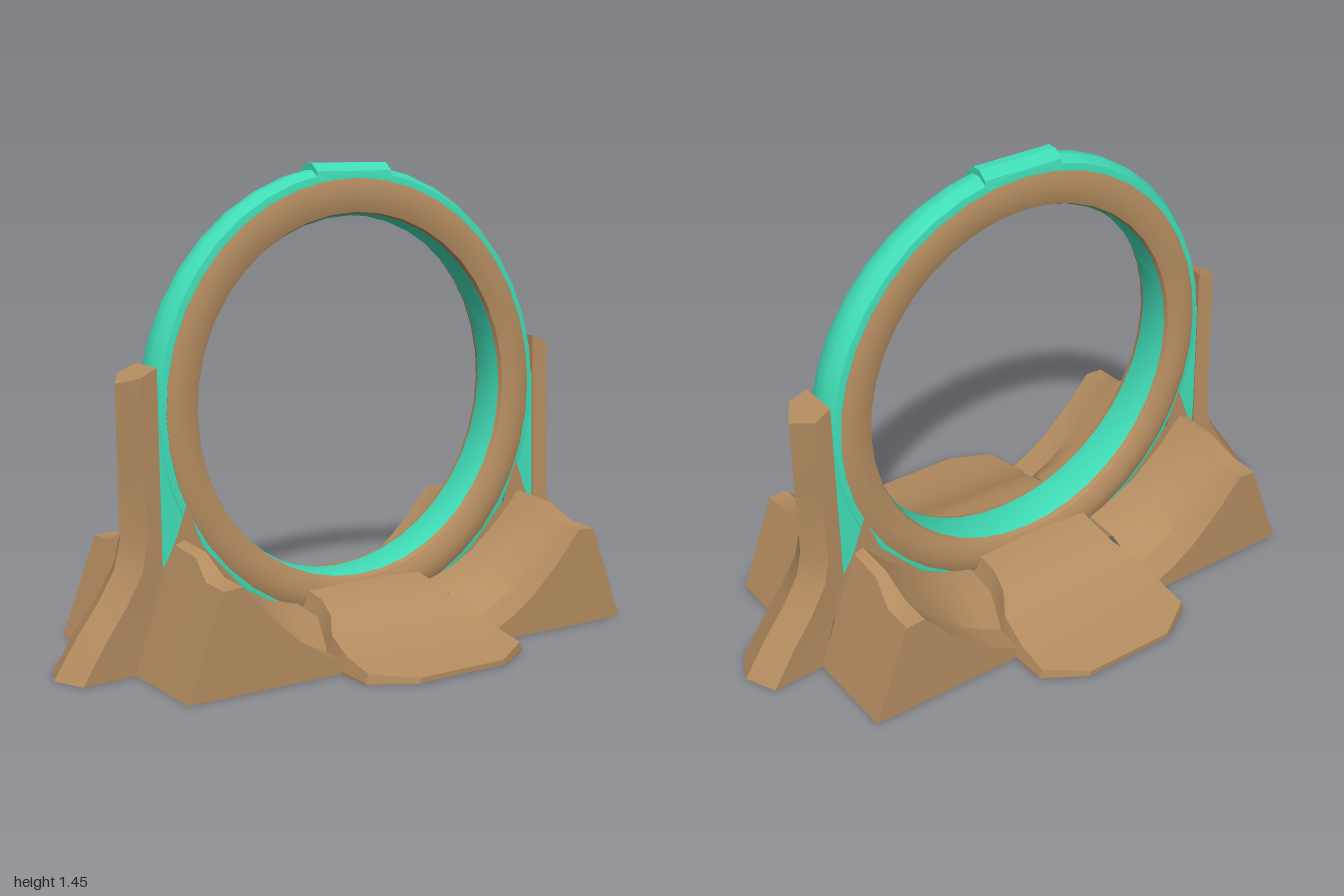
import * as THREE from 'three';
import { toCreasedNormals } from 'three/addons/utils/BufferGeometryUtils.js';

const mat = (name, color) => {
  const m = new THREE.MeshStandardMaterial({ color, side: THREE.DoubleSide });
  m.name = name;
  return m;
};

// Half depth of the ring and pillars, narrowing with height
const halfDepth = (y) => 0.105 - 0.034 * y;
const RING_Y = 0.737;

// Surface through a list of equal-length point rows
function loft(rows, closed = false, capEnd = false) {
  const n = rows[0].length, idx = [];
  const pos = rows.flat(2);
  for (let i = 0; i < rows.length - 1; i++) {
    for (let j = 0; j < (closed ? n : n - 1); j++) {
      const a = i * n + j, b = i * n + ((j + 1) % n);
      idx.push(a, b, b + n, a, b + n, a + n);
    }
  }
  if (capEnd) {
    const s = (rows.length - 1) * n;
    for (let j = 1; j < n - 1; j++) idx.push(s, s + j, s + j + 1);
  }
  const g = new THREE.BufferGeometry();
  g.setAttribute('position', new THREE.Float32BufferAttribute(pos, 3));
  g.setIndex(idx);
  return toCreasedNormals(g, 0.55);
}

// Scale unit depth to the tapered depth at each height
function taper(g) {
  const p = g.attributes.position;
  for (let i = 0; i < p.count; i++) p.setZ(i, p.getZ(i) * halfDepth(p.getY(i)));
  return toCreasedNormals(g, 0.6);
}

// Ring turned from a closed [radius, depth] profile
function ring(profile) {
  const pts = [...profile, profile[0]].map(([r, z]) => new THREE.Vector2(r, z));
  const g = new THREE.LatheGeometry(pts, 40);
  g.rotateX(Math.PI / 2).translate(0, RING_Y, 0);
  return taper(g);
}

const polygon = (pts) => new THREE.Shape(pts.map(([x, y]) => new THREE.Vector2(x, y)));

export function createModel() {
  const model = new THREE.Group();
  model.name = 'ringGate';
  const brown = mat('brown', 0xb48c60);
  const teal = mat('teal', 0x40dcb6);
  const add = (name, g, m, sx = 1, sz = 1) => {
    const mesh = new THREE.Mesh(g, m);
    mesh.name = name;
    mesh.scale.set(sx, 1, sz);
    model.add(mesh);
  };

  // Teal core and the two brown side rings
  add('ringCore', ring([
    [0.559, -0.75], [0.551, -0.4], [0.551, 0.4], [0.559, 0.75],
    [0.66, 0.88], [0.685, 0.82], [0.703, 0.3], [0.703, -0.3], [0.685, -0.82], [0.66, -0.88],
  ]), teal);
  const rim = ring([[0.557, 0.68], [0.562, 0.86], [0.585, 0.97], [0.615, 1.01], [0.645, 0.99], [0.664, 0.9], [0.66, 0.7]]);
  for (const sz of [1, -1]) add('sideRing', rim, brown, 1, sz);

  // Ridged block on top of the ring
  const capSection = [[0.05, 1.395], [0.045, 1.422], [0.015, 1.446], [-0.015, 1.446], [-0.045, 1.422], [-0.05, 1.395]];
  const capRow = (x) => capSection.map(([z, y]) => [x, y, z]);
  add('topBlock', loft([capRow(-0.135), capRow(0.135)], true, true), teal);
  add('topBlockEnd', loft([capRow(-0.134), capRow(-0.135)], true, true), teal);

  // Pillar: [height, inner x, outer x]
  const pillarRows = [
    [0, 0.78, 1.0], [0.12, 0.745, 0.922], [0.21, 0.717, 0.855], [0.3, 0.69, 0.803],
    [0.38, 0.689, 0.785], [0.6, 0.689, 0.787], [0.835, 0.689, 0.79],
  ].map(([y, xi, xo], i, all) => {
    const d = halfDepth(y) * 0.94, top = i === all.length - 1;
    const xm = xo - 0.045, yi = top ? 0.88 : y, ym = top ? 0.855 : y;
    return [[xi, yi, d * 0.9], [xm, ym, d], [xo, y, 0], [xm, ym, -d], [xi, yi, -d * 0.9]];
  });
  const pillar = loft(pillarRows, true, true);

  // Teal filler between ring and pillar
  const filler = new THREE.ExtrudeGeometry(
    polygon([[0.64, 0.76], [0.692, 0.76], [0.692, 0.5], [0.686, 0.3], [0.6, 0.42]]),
    { depth: 1.6, bevelEnabled: false });
  filler.translate(0, 0, -0.8);
  taper(filler);

  // Brown web behind each ramp
  const web = new THREE.ShapeGeometry(polygon([
    [0.78, 0], [0.685, 0.3], [0.648, 0.38], [0.61, 0.48], [0.56, 0.35], [0.42, 0.2], [0.34, 0.155], [0.24, 0.13], [0.27, 0],
  ]));
  web.translate(0, 0, 0.085);

  // Ramp: front and rear profiles blended along z
  const front = [[0.785, 0], [0.672, 0.302], [0.61, 0.306], [0.52, 0.205], [0.42, 0.115], [0.35, 0.07], [0.27, 0.03]];
  const rear = [[0.785, 0], [0.65, 0.365], [0.62, 0.376], [0.54, 0.29], [0.43, 0.2], [0.34, 0.155], [0.24, 0.13]];
  const rampRows = [[0.4, 0], [0.3, 0.06], [0.21, 0.85], [0.085, 1]].map(([z, t]) =>
    front.map(([x, y], i) => [x + (rear[i][0] - x) * t, y + (rear[i][1] - y) * t, z]));
  const ramp = loft(rampRows);
  const rampEnd = new THREE.ShapeGeometry(polygon([...front, [0.27, 0]]));
  rampEnd.translate(0, 0, 0.4);

  // Step plate: [z, half width, height]
  const stepRows = [
    [0.08, 0.255, 0.168], [0.17, 0.25, 0.155], [0.24, 0.255, 0.125], [0.31, 0.285, 0.085],
    [0.41, 0.287, 0.05], [0.52, 0.285, 0.03], [0.6, 0.155, 0.018],
  ].map(([z, w, h]) => {
    const inset = w - h * 0.3;
    return [[-w, h * 0.15, z], [-inset, h, z], [0, h, z], [inset, h, z], [w, h * 0.15, z]];
  });
  const step = loft(stepRows, false, true);
  const skirt = loft([
    stepRows.map((r) => r[4]), stepRows.map((r) => [r[4][0], 0, r[4][2]]),
  ]);

  for (const sx of [1, -1]) {
    add('pillar', pillar, brown, sx);
    add('ringFiller', filler, teal, sx);
    for (const sz of [1, -1]) {
      add('web', web, brown, sx, sz);
      add('ramp', ramp, brown, sx, sz);
      add('rampEnd', rampEnd, brown, sx, sz);
      add('stepSkirt', skirt, brown, sx, sz);
    }
  }
  for (const sz of [1, -1]) add('step', step, brown, 1, sz);
  return model;
}
